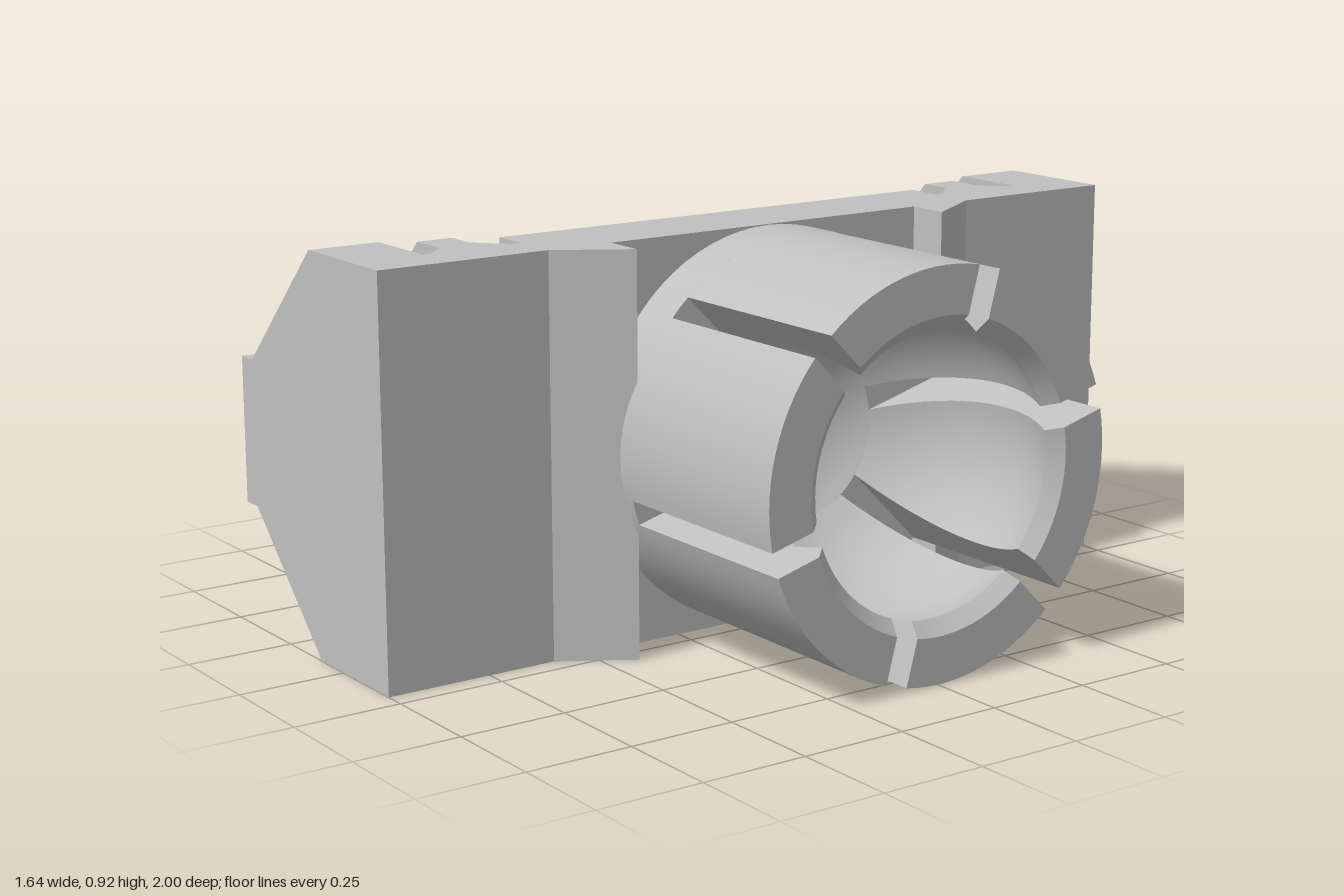
import * as THREE from 'three';
import { toCreasedNormals } from 'three/addons/utils/BufferGeometryUtils.js';

const H = 0.92, MID = 0.46;              // overall height and socket axis height
const R = 0.458, SLOT_X = 0.315, END_X = 0.82, SLOT_W = 0.058;
const BALL_X = 0.614, BALL_R = 0.363;    // spherical cavity

const grey = new THREE.MeshStandardMaterial({ color: 0xc0c0c0 });
grey.name = 'grey plastic';

function add(parent, name, geometry) {
  const mesh = new THREE.Mesh(geometry, grey);
  mesh.name = name;
  parent.add(mesh);
  return mesh;
}

const shapeOf = pts => new THREE.Shape(pts.map(p => new THREE.Vector2(p[0], p[1])));

// Outline in (x, z), raised from y0 to y1
function plan(pts, y0, y1) {
  const g = new THREE.ExtrudeGeometry(shapeOf(pts.map(([x, z]) => [x, -z])), { depth: y1 - y0, bevelEnabled: false });
  return g.rotateX(-Math.PI / 2).translate(0, y0, 0);
}

// Upper half outline in (x, height above the axis), mirrored down, spanning z0 to z1
function plate(half, z0, z1) {
  const pts = [...half, ...half.slice().reverse().map(([x, h]) => [x, -h])];
  const g = new THREE.ExtrudeGeometry(shapeOf(pts), { depth: z1 - z0, bevelEnabled: false });
  return g.translate(0, MID, z0);
}

const ballRadius = x => Math.sqrt(Math.max(0, BALL_R ** 2 - (x - BALL_X) ** 2));

// Solid closed end of the socket, with the back of the ball cavity
function socketBase() {
  const pts = [[0.458, 0.2], [0.458, SLOT_X]];
  const a0 = Math.acos((BALL_X - SLOT_X) / BALL_R);
  for (let i = 0; i <= 10; i++) {
    const a = a0 * (1 - i / 10);
    pts.push([BALL_R * Math.sin(a), BALL_X - BALL_R * Math.cos(a)]);
  }
  const g = new THREE.LatheGeometry(pts.map(p => new THREE.Vector2(p[0], p[1])), 72);
  return toCreasedNormals(g.rotateZ(-Math.PI / 2), 0.5);
}

// One springy finger: the wall section swept round the axis between parallel slot sides
function finger() {
  const pts = [[SLOT_X, R], [SLOT_X, ballRadius(SLOT_X)]];
  for (let i = 1; i <= 16; i++) {
    const x = SLOT_X + (0.79 - SLOT_X) * i / 16;
    pts.push([x, ballRadius(x)]);
  }
  pts.push([END_X, 0.35], [END_X, R]);
  const g = new THREE.ExtrudeGeometry(shapeOf(pts), { depth: 1, steps: 14, bevelEnabled: false });
  const p = g.attributes.position;
  for (let i = 0; i < p.count; i++) {
    const r = p.getY(i);
    const half = Math.PI / 6 - Math.asin(SLOT_W / 2 / r);
    const a = (p.getZ(i) * 2 - 1) * half;
    p.setXYZ(i, p.getX(i), r * Math.cos(a), r * Math.sin(a));
  }
  return toCreasedNormals(g, 0.5);
}

export function createModel() {
  const model = new THREE.Group();
  model.name = 'clipSocketMount';

  // Full-height back plate with relief notches and side gussets
  const side = [
    [0, 0.585], [0.09, 0.585], [0.09, 0.605], [0.02, 0.672], [0.02, 0.76], [0.04, 0.76],
    [0.09, 0.81], [0.09, 1], [0.2, 1], [0.2, 0.585], [0.3, 0.425], [0.2, 0.425],
  ];
  add(model, 'backPlate', plan([...side, ...side.slice().reverse().map(([x, z]) => [x, -z])], 0, H));

  // Side guards and snap arms, front and rear
  const guard = [[0.09, MID], [-0.1, MID], [-0.39, 0.17], [-0.44, 0.17]];
  const arm = [[0.02, MID], [-0.055, MID], [-0.39, 0.125], [-0.545, 0.125]];
  const hook = [[-0.545, 0.672], [-0.545, 0.81], [-0.65, 0.76], [-0.79, 0.76], [-0.82, 0.73], [-0.82, 0.672]];
  for (const s of [1, -1]) {
    const label = s > 0 ? 'front' : 'rear';
    const span = (a, b) => (s > 0 ? [a, b] : [-b, -a]);
    add(model, label + 'Guard', plate(guard, ...span(0.83, 1)));
    add(model, label + 'SnapArm', plate(arm, ...span(0.672, 0.76)));
    add(model, label + 'SnapHook', plan(hook.map(([x, z]) => [x, s * z]), MID - 0.125, MID + 0.125));
  }

  // Ball socket with six fingers
  const socket = new THREE.Group();
  socket.name = 'ballSocket';
  socket.position.y = MID;
  add(socket, 'socketBase', socketBase());
  const fingerGeometry = finger();
  for (let k = 0; k < 6; k++) {
    add(socket, 'socketFinger' + (k + 1), fingerGeometry).rotation.x = Math.PI / 12 + k * Math.PI / 3;
  }
  model.add(socket);
  return model;
}
